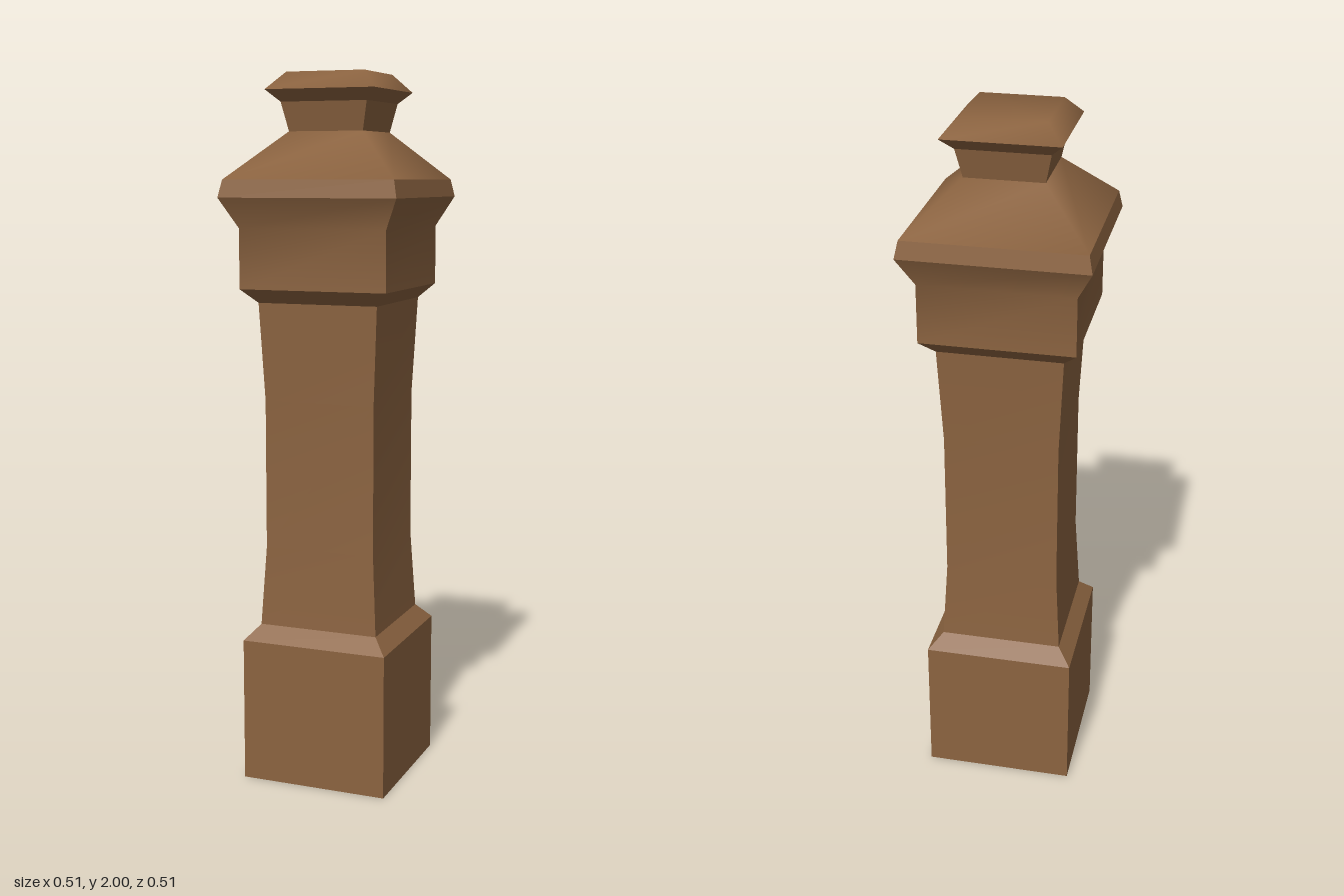
import * as THREE from 'three';
import { toCreasedNormals } from 'three/addons/utils/BufferGeometryUtils.js';

const wood = new THREE.MeshStandardMaterial({ color: 0x8b6340, side: THREE.DoubleSide });
wood.name = 'brownWood';

// Square tube through [halfWidth, height] rings, bottom to top; optional flat lid.
function squareSection(name, rings, crease, lid = false) {
  const corners = [[1, 1], [1, -1], [-1, -1], [-1, 1]];
  const positions = [];
  const index = [];
  for (const [w, y] of rings) {
    for (const [x, z] of corners) positions.push(x * w, y, z * w);
  }
  for (let r = 0; r < rings.length - 1; r++) {
    for (let i = 0; i < 4; i++) {
      const a = r * 4 + i;
      const b = r * 4 + (i + 1) % 4;
      index.push(a, b, b + 4, a, b + 4, a + 4);
    }
  }
  if (lid) {
    const t = (rings.length - 1) * 4;
    index.push(t, t + 1, t + 2, t, t + 2, t + 3);
  }
  const geometry = new THREE.BufferGeometry();
  geometry.setAttribute('position', new THREE.Float32BufferAttribute(positions, 3));
  geometry.setIndex(index);
  const mesh = new THREE.Mesh(toCreasedNormals(geometry, crease), wood);
  mesh.name = name;
  return mesh;
}

export function createModel() {
  const post = new THREE.Group();
  post.name = 'newelPost';
  const sharp = 0.8; // keeps the vertical corners crisp
  const soft = 1.15; // blends across the sloped corners
  post.add(
    // Hollow base, open underneath
    squareSection('base', [[0.213, 0], [0.213, 0.411]], sharp),
    squareSection('baseBevel', [[0.213, 0.411], [0.174, 0.454]], sharp),
    // Waisted shaft
    squareSection('shaft', [[0.174, 0.454], [0.161, 0.68], [0.161, 1.1], [0.174, 1.375]], sharp),
    // Flared capital
    squareSection('capitalBevel', [[0.174, 1.375], [0.213, 1.414]], sharp),
    squareSection('capital', [[0.213, 1.414], [0.213, 1.58], [0.256, 1.663]], sharp),
    squareSection('capitalRim', [[0.256, 1.663], [0.246, 1.711]], sharp),
    squareSection('roof', [[0.246, 1.711], [0.108, 1.841]], soft),
    // Finial
    squareSection('finialNeck', [[0.108, 1.841], [0.125, 1.92]], sharp),
    squareSection('finialUnderside', [[0.125, 1.92], [0.158, 1.952]], sharp),
    squareSection('finialCap', [[0.158, 1.952], [0.113, 2]], soft, true),
  );
  return post;
}
